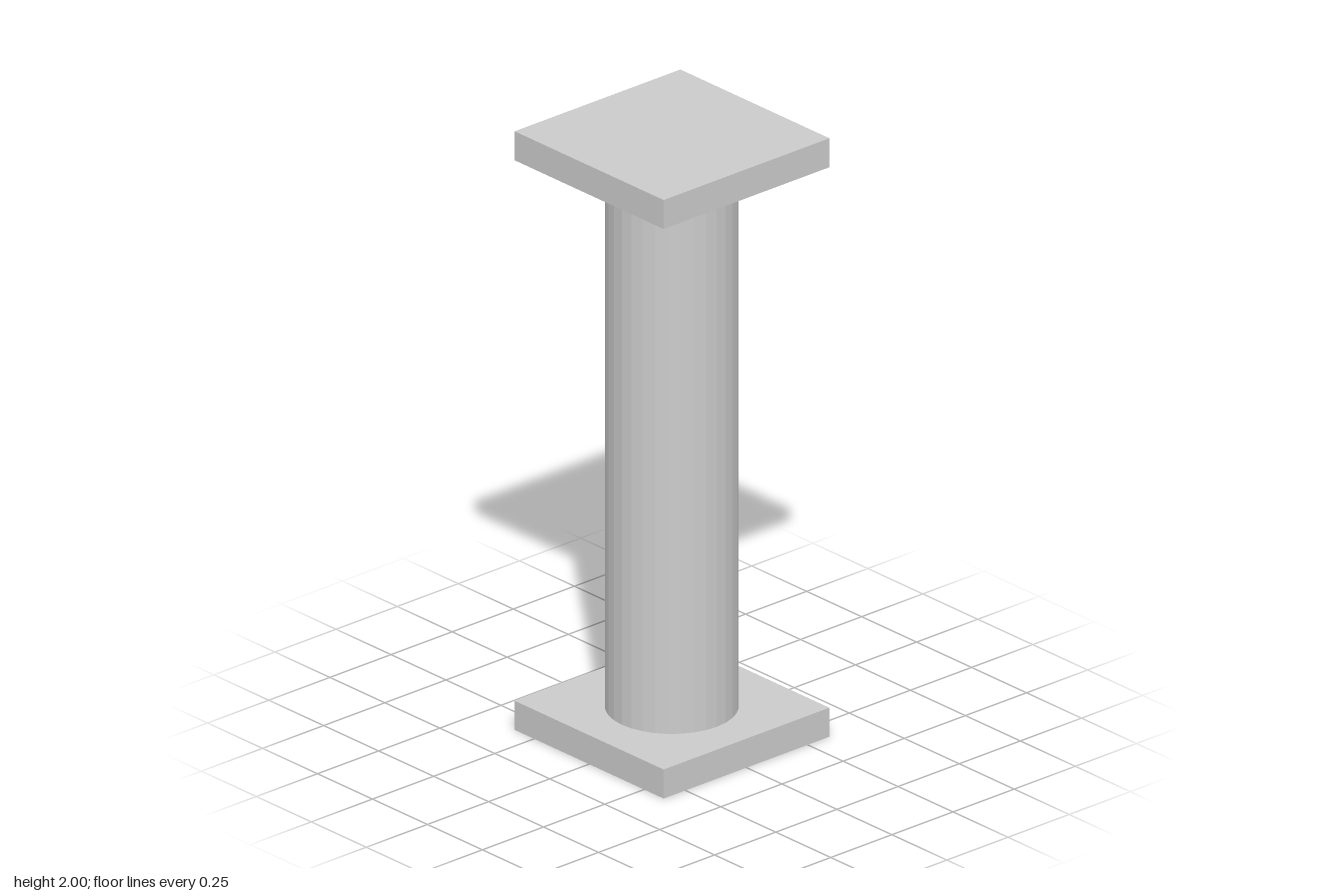
import * as THREE from 'three';

const HEIGHT = 2;
const PLATE_WIDTH = 0.678;
const PLATE_HEIGHT = 0.097;
const SHAFT_RADIUS = 0.204;

export function createModel() {
  const group = new THREE.Group();
  group.name = 'column';
  const material = new THREE.MeshStandardMaterial({ color: 0xcccccc, flatShading: true });

  const addPart = (name, geometry, x, y, z) => {
    const mesh = new THREE.Mesh(geometry, material);
    mesh.name = name;
    mesh.position.set(x, y, z);
    group.add(mesh);
  };

  // Square plates at the foot and the head
  const plate = new THREE.BoxGeometry(PLATE_WIDTH, PLATE_HEIGHT, PLATE_WIDTH);
  addPart('basePlate', plate, 0, PLATE_HEIGHT / 2, 0);
  addPart('topPlate', plate, 0, HEIGHT - PLATE_HEIGHT / 2, 0);

  // Faceted round shaft, set slightly off centre
  const shaftHeight = HEIGHT - 2 * PLATE_HEIGHT;
  const shaft = new THREE.CylinderGeometry(SHAFT_RADIUS, SHAFT_RADIUS, shaftHeight, 32, 1, true);
  addPart('shaft', shaft, -0.01, HEIGHT / 2, 0.01);

  return group;
}
